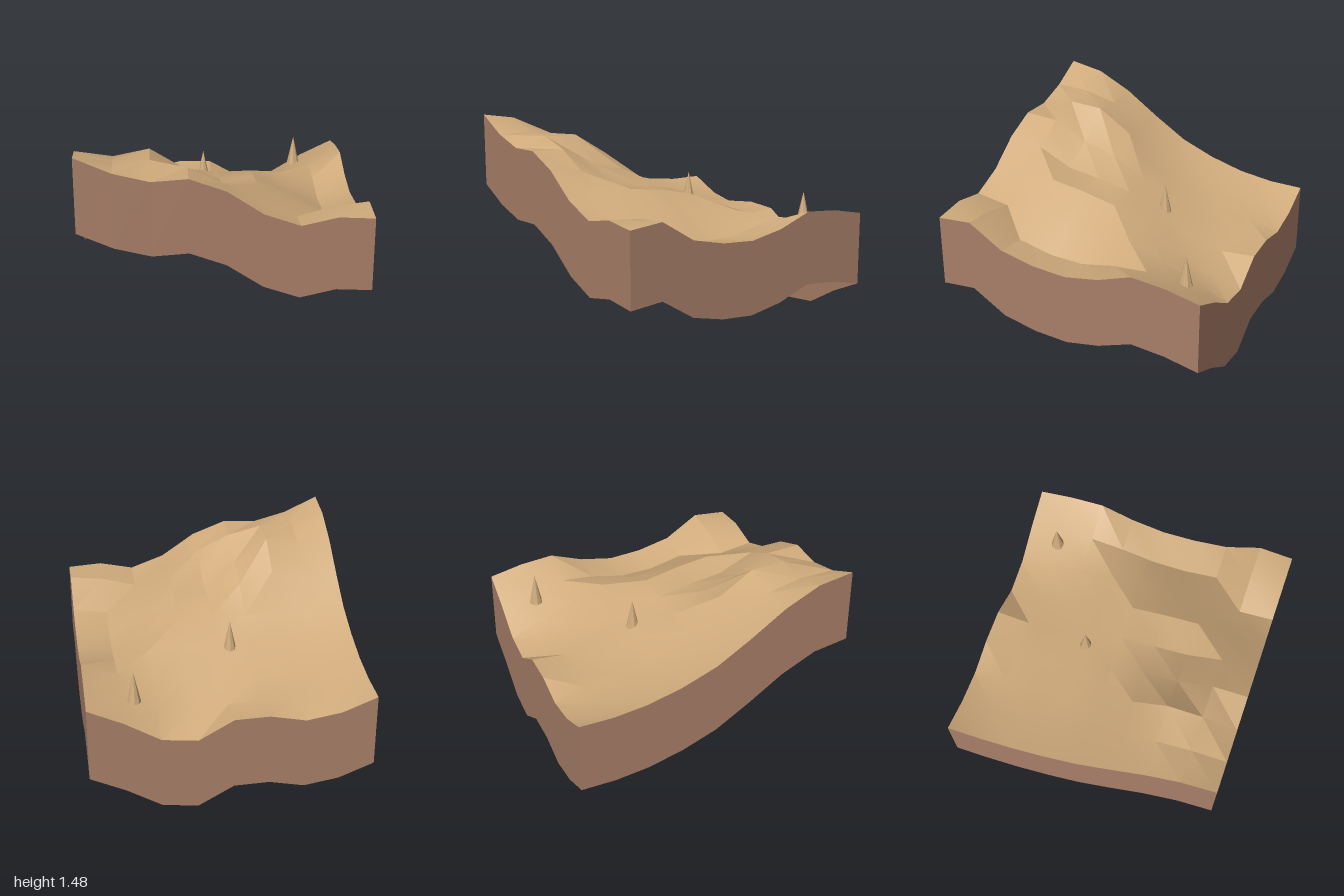
import * as THREE from 'three';
import { toCreasedNormals } from 'three/addons/utils/BufferGeometryUtils.js';

const N = 8;          // cells per side
const DEPTH = 0.535;  // height of the cut earth walls

// Ground heights: one row per z step (back to front), columns from -x to +x
const HEIGHTS = [
  [0.765, 0.665, 0.625, 0.68, 0.675, 0.535, 0.565, 0.715, 0.835],
  [0.77, 0.71, 0.685, 0.665, 0.655, 0.62, 0.67, 0.77, 0.89],
  [0.805, 0.76, 0.74, 0.73, 0.735, 0.73, 0.77, 0.82, 0.915],
  [0.875, 0.83, 0.83, 0.84, 0.85, 0.87, 0.86, 0.80, 0.825],
  [0.977, 0.95, 0.95, 0.96, 0.97, 0.975, 0.87, 0.75, 0.78],
  [1.136, 1.14, 1.19, 1.10, 1.02, 1.03, 0.90, 0.76, 0.80],
  [1.31, 1.30, 1.35, 1.17, 1.06, 1.07, 0.94, 0.82, 0.86],
  [1.435, 1.36, 1.36, 1.30, 1.18, 1.05, 0.92, 0.99, 1.02],
  [1.48, 1.365, 1.30, 1.315, 1.22, 1.05, 0.96, 1.015, 1.0],
];
const coord = (i) => -1 + (2 * i) / N;

// Rolling ground: a grid plane lifted to the height table
function groundGeometry() {
  const geo = new THREE.PlaneGeometry(2, 2, N, N).rotateX(-Math.PI / 2);
  const pos = geo.attributes.position;
  for (let i = 0; i < pos.count; i++) {
    pos.setY(i, HEIGHTS[Math.floor(i / (N + 1))][i % (N + 1)]);
  }
  return toCreasedNormals(geo, 0.35);
}

// Wall strip hanging from one border of the ground; cell(i) gives [column, row]
function wallGeometry(cell) {
  const points = [], index = [];
  for (let i = 0; i <= N; i++) {
    const [c, r] = cell(i);
    const x = coord(c), z = coord(r), h = HEIGHTS[r][c];
    points.push(x, h, z, x, h - DEPTH, z);
    if (i < N) {
      const a = 2 * i;
      index.push(a, a + 1, a + 2, a + 2, a + 1, a + 3);
    }
  }
  const geo = new THREE.BufferGeometry();
  geo.setAttribute('position', new THREE.Float32BufferAttribute(points, 3));
  geo.setIndex(index);
  geo.computeVertexNormals();
  return geo;
}

export function createModel() {
  const sand = new THREE.MeshStandardMaterial({ color: 0xd0ab7c, side: THREE.DoubleSide });
  sand.name = 'sand';
  const earth = new THREE.MeshStandardMaterial({ color: 0xa87e68, side: THREE.DoubleSide });
  earth.name = 'earth';

  const model = new THREE.Group();
  model.name = 'terrainBlock';
  const add = (name, geo, material) => {
    const mesh = new THREE.Mesh(geo, material);
    mesh.name = name;
    model.add(mesh);
    return mesh;
  };

  add('ground', groundGeometry(), sand);

  // Four cut sides, open underneath
  add('frontWall', wallGeometry((i) => [i, N]), earth);
  add('leftWall', wallGeometry((i) => [N, N - i]), earth);
  add('backWall', wallGeometry((i) => [N - i, 0]), earth);
  add('rightWall', wallGeometry((i) => [0, i]), earth);

  // Pointed rock spires: x, tip height, z
  const spires = [[-0.09, 1.045, -0.25], [0.66, 0.965, -0.75]];
  for (const [x, tip, z] of spires) {
    const height = 0.23;
    const geo = toCreasedNormals(new THREE.ConeGeometry(0.05, height, 8), 0.3);
    add('spire', geo, sand).position.set(x, tip - height / 2, z);
  }
  return model;
}
